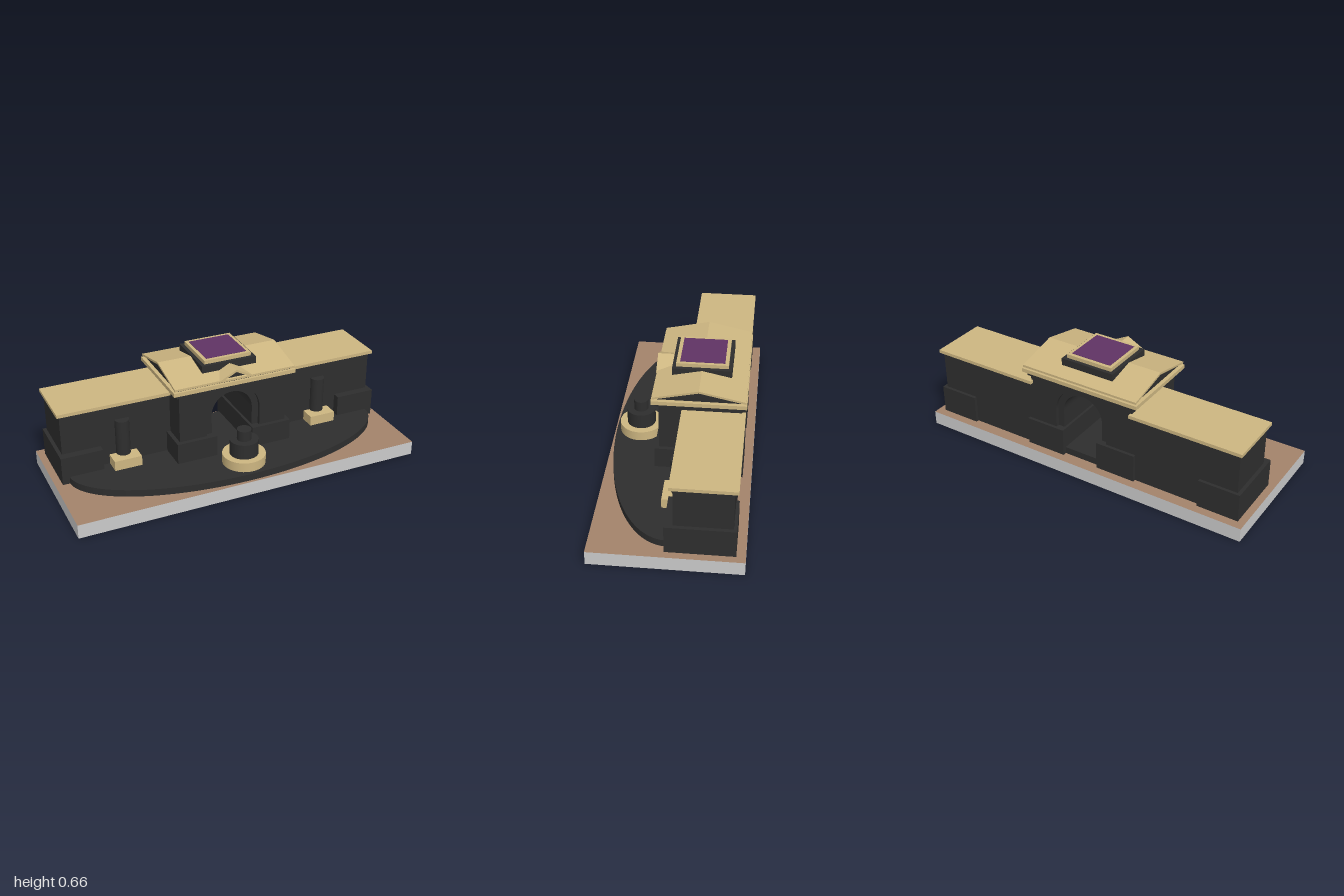
import * as THREE from 'three';

const mat = (name, color) => {
  const m = new THREE.MeshStandardMaterial({ color });
  m.name = name;
  return m;
};

export function createModel() {
  const group = new THREE.Group();
  const stone = mat('dark stone', 0x2e2e2e);
  const gold = mat('sandstone', 0xcdb681);
  const grey = mat('grey edge', 0xcacaca);
  const earth = mat('earth', 0xa3836b);
  const purple = mat('purple', 0x603364);

  const add = (name, geometry, material) => {
    const mesh = new THREE.Mesh(geometry, material);
    mesh.name = name;
    group.add(mesh);
    return mesh;
  };
  // Box from its minimum and maximum on each axis
  const box = (name, material, x0, x1, y0, y1, z0, z1) => {
    const g = new THREE.BoxGeometry(x1 - x0, y1 - y0, z1 - z0);
    g.translate((x0 + x1) / 2, (y0 + y1) / 2, (z0 + z1) / 2);
    return add(name, g, material);
  };
  const drum = (name, material, r, y0, y1, x, z) => {
    const g = new THREE.CylinderGeometry(r, r, y1 - y0, 40);
    g.translate(x, (y0 + y1) / 2, z);
    return add(name, g, material);
  };
  // Outline in x and y, extruded from z0 to z1
  const slab = (name, material, shape, z0, z1) => {
    const g = new THREE.ExtrudeGeometry(shape, { depth: z1 - z0, bevelEnabled: false, curveSegments: 32 });
    g.translate(0, 0, z0);
    return add(name, g, material);
  };
  const poly = (points) => new THREE.Shape(points.map(([x, y]) => new THREE.Vector2(x, y)));
  // Inverted V outline with vertical thickness t
  const chevron = (w, low, peak, t) =>
    poly([[-w, low], [0, peak - t], [w, low], [w, low + t], [0, peak], [-w, low + t]]);

  // Ground slab: grey sides, earth top and bottom
  box('base', [grey, grey, earth, earth, grey, grey], -1, 1, 0, 0.08, -0.4, 0.4);

  // Half-oval terrace and the passage floor behind it
  const oval = new THREE.Shape();
  oval.moveTo(0.92, 0);
  oval.absellipse(0, 0, 0.92, 0.383, 0, -Math.PI, true);
  oval.closePath();
  const terrace = new THREE.ExtrudeGeometry(oval, { depth: 0.04, bevelEnabled: false, curveSegments: 48 });
  terrace.rotateX(-Math.PI / 2);
  terrace.translate(0, 0.08, 0);
  add('terrace', terrace, stone);
  box('passageFloor', stone, -0.9, 0.9, 0.08, 0.12, -0.33, 0);

  // Side wings with plinths, pedestals and half columns
  for (const s of [-1, 1]) {
    const sideBox = (name, material, a, b, ...rest) =>
      box(name, material, Math.min(s * a, s * b), Math.max(s * a, s * b), ...rest);
    sideBox('wing', stone, 0.31, 0.94, 0.08, 0.471, -0.335, -0.036);
    sideBox('wingRoof', gold, 0.31, 0.956, 0.471, 0.49, -0.355, -0.017);
    sideBox('cornerPlinth', stone, 0.725, 0.96, 0.08, 0.241, -0.352, 0.008);
    sideBox('archPlinth', stone, 0.108, 0.342, 0.08, 0.241, -0.352, 0.128);
    sideBox('pedestal', gold, 0.522, 0.678, 0.12, 0.177, -0.036, 0.052);
    drum('column', stone, 0.04, 0.12, 0.383, s * 0.6, -0.03);
  }

  // Gatehouse walls: recessed arch ring between two wider openings
  const archWall = (r) => {
    const shape = poly([[-0.32, 0.08], [-r, 0.08], [-r, 0.352]]);
    shape.absarc(0, 0.352, r, Math.PI, 0, true);
    shape.lineTo(r, 0.08);
    shape.lineTo(0.32, 0.08);
    shape.lineTo(0.32, 0.517);
    shape.lineTo(-0.32, 0.517);
    shape.closePath();
    return shape;
  };
  slab('archCore', stone, archWall(0.122), -0.315, 0.085);
  slab('archFront', stone, archWall(0.16), 0.085, 0.105);
  slab('archBack', stone, archWall(0.16), -0.335, -0.315);

  // Cornice
  box('corniceBand', stone, -0.338, 0.338, 0.517, 0.54, -0.343, 0.122);
  box('cornice', gold, -0.36, 0.36, 0.54, 0.562, -0.361, 0.141);

  // Main gable, ridge along x
  const turn = (mesh) => {
    mesh.geometry.rotateY(Math.PI / 2);
    mesh.geometry.translate(0, 0, -0.11);
  };
  turn(slab('gableWall', stone, poly([[-0.235, 0.562], [0.235, 0.562], [0, 0.626]]), -0.338, 0.338));
  turn(slab('gableRoof', gold, chevron(0.246, 0.569, 0.635, 0.012), -0.354, 0.354));

  // Small front gable, ridge along z
  slab('frontGableWall', stone, poly([[-0.088, 0.562], [0.088, 0.562], [0, 0.62]]), -0.08, 0.126);
  slab('frontGableRoof', gold, chevron(0.1, 0.566, 0.631, 0.013), -0.08, 0.142);

  // Attic block with framed panel on top
  box('attic', stone, -0.16, 0.16, 0.58, 0.641, -0.27, 0.05);
  box('atticCap', gold, -0.138, 0.138, 0.641, 0.662, -0.25, 0.03);
  box('roofPanel', purple, -0.12, 0.12, 0.66, 0.664, -0.23, 0.01);

  // Tiered fountain
  drum('fountainBasin', gold, 0.12, 0.12, 0.175, 0, 0.243);
  drum('fountainDrum', stone, 0.08, 0.175, 0.262, 0, 0.243);
  drum('fountainTop', stone, 0.04, 0.262, 0.322, 0, 0.243);

  return group;
}
